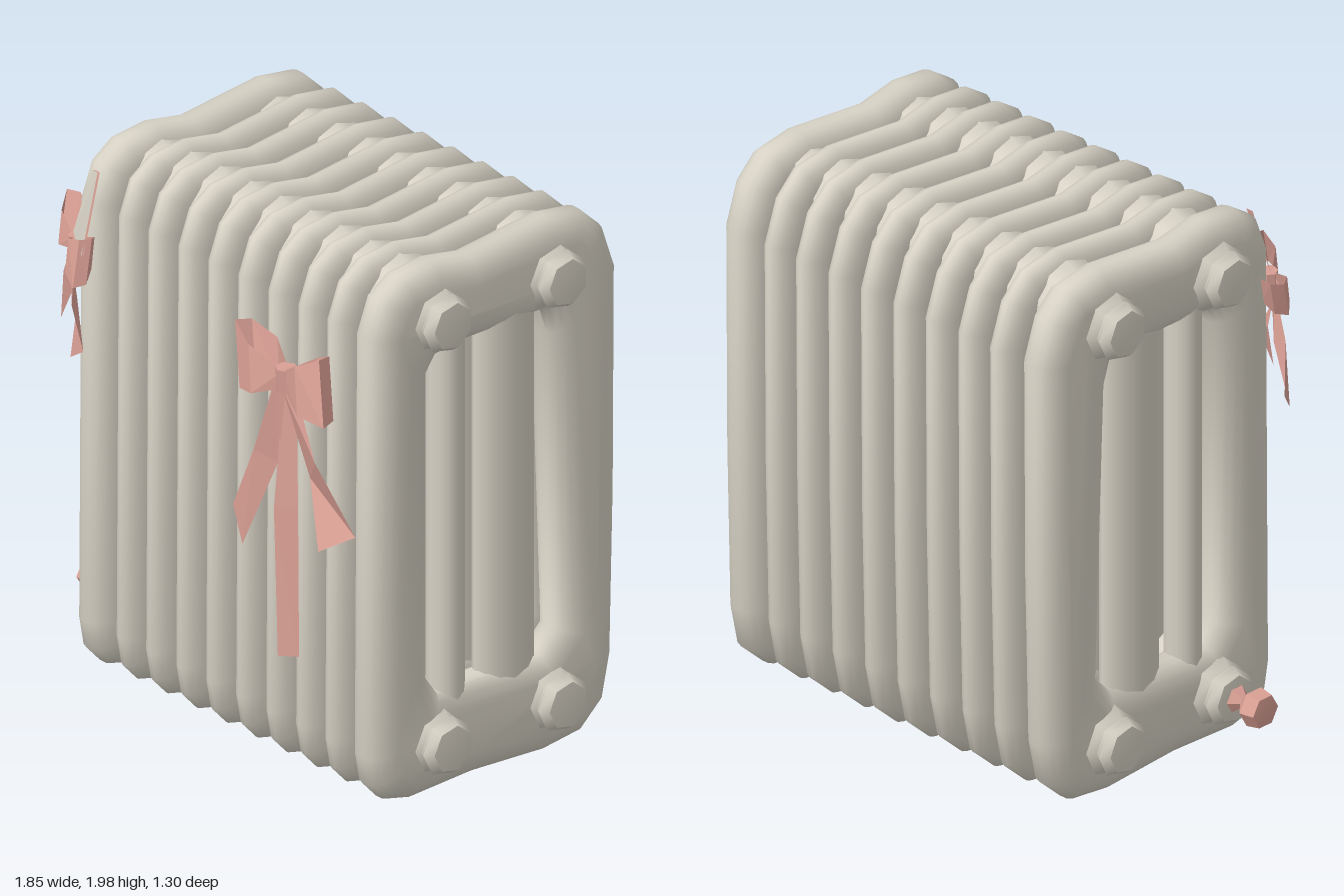
import * as THREE from 'three';
import { toCreasedNormals } from 'three/addons/utils/BufferGeometryUtils.js';

const iron = new THREE.MeshStandardMaterial({ color: 0xd6d1c4 });
iron.name = 'cast iron cream';
const pink = new THREE.MeshStandardMaterial({ color: 0xd99f94, side: THREE.DoubleSide });
pink.name = 'ribbon pink';

const HEADER_Z = [0.175, -0.34];
const HEADER_Y = [0.21, 1.785];

function add(parent, name, geometry, material) {
  const mesh = new THREE.Mesh(geometry, material);
  mesh.name = name;
  parent.add(mesh);
  return mesh;
}

// One radiator section: rounded frame plus two inner columns, shifted a little by sway
function section(name, x, depth, bevel, sway) {
  const g = new THREE.Group();
  g.name = name;
  g.position.x = x;
  // outline as (-z, y)
  const outline = [
    [-0.46, 0.22], [-0.44, 0.11], [-0.38, 0.045], [-0.28, 0.02], [0, 0.03], [0.32, 0.01],
    [0.49, 0.03], [0.59, 0.12], [0.625, 0.28], [0.64, 0.9], [0.645, 1.72], [0.59, 1.88], [0.5, 1.965],
    [0.34, 1.99], [0, 1.955], [-0.16, 1.985], [-0.31, 1.97], [-0.4, 1.91], [-0.45, 1.78],
  ].map(p => new THREE.Vector2(...p));
  const shape = new THREE.Shape(outline);
  shape.holes.push(new THREE.Path([
    [-0.2, 0.45], [-0.2, 1.58], [-0.15, 1.65], [0.3, 1.65], [0.33, 1.56], [0.37, 0.45], [0.3, 0.38], [-0.15, 0.38],
  ].map(p => new THREE.Vector2(...p))));
  const geo = new THREE.ExtrudeGeometry(shape, {
    depth, bevelThickness: bevel, bevelSize: 0.1, bevelOffset: -0.1, bevelSegments: 4,
  });
  geo.translate(0, 0, -depth / 2);
  geo.rotateY(Math.PI / 2);
  add(g, 'frame', toCreasedNormals(geo, 0.9), iron);

  for (const [z, r] of [[0.083, 0.068], [-0.175, 0.128]]) {
    const column = add(g, 'innerColumn', new THREE.CylinderGeometry(1, 1, 1.4, 12, 1, true), iron);
    column.scale.set(depth / 2 + bevel * 0.8, 1, r);
    column.position.set(0, 1.01, z + sway);
  }
  return g;
}

// Horizontal header that swells into every section
function header(xs) {
  const pts = [];
  xs.forEach((x, i) => {
    pts.push(new THREE.Vector2(0.195, x));
    if (i < xs.length - 1) pts.push(new THREE.Vector2(0.15, (x + xs[i + 1]) / 2));
  });
  const geo = new THREE.LatheGeometry(pts, 12);
  geo.rotateZ(-Math.PI / 2);
  return geo;
}

// End plug: flared root, neck and blunt knob, pointing along +x
function plugGeometry() {
  const pts = [[0.16, -0.02], [0.12, 0.03], [0.095, 0.055], [0.108, 0.075], [0.085, 0.108], [0, 0.114]]
    .map(p => new THREE.Vector2(...p));
  const geo = toCreasedNormals(new THREE.LatheGeometry(pts, 7), 0.9);
  geo.rotateZ(-Math.PI / 2);
  return geo;
}

// Flat-faced ribbon between two edges given as point lists
function ribbon(edgeA, edgeB) {
  const pos = [];
  for (let i = 0; i < edgeA.length - 1; i++) {
    const [a, b, c, d] = [edgeA[i], edgeB[i], edgeB[i + 1], edgeA[i + 1]];
    pos.push(...a, ...b, ...c, ...a, ...c, ...d);
  }
  const geo = new THREE.BufferGeometry();
  geo.setAttribute('position', new THREE.Float32BufferAttribute(pos, 3));
  geo.computeVertexNormals();
  return geo;
}

// Bow around its own knot: two slanted loops, a knot and a list of tails
function bow(name, span, height, thick, tails) {
  const g = new THREE.Group();
  g.name = name;
  const knot = add(g, 'knot', toCreasedNormals(new THREE.CylinderGeometry(0.04, 0.035, height * 0.4, 6), 0.3), pink);
  knot.scale.z = thick / 0.06;
  for (const s of [-1, 1]) {
    // out along the front, round the tip, back along the rear
    const path = [[0, 0.3, 0.2], [0.55, 0.75, 1], [1, 1, 0.5], [0.92, 0.95, -0.5], [0.5, 0.7, -1], [0, 0.3, -0.2]];
    const edge = k => path.map(([x, h, z]) => [
      s * x * span * (0.87 - 0.13 * k * s),
      (k * h * height) / 2 + 0.12 * height * x,
      z * thick - 0.3 * k * x * thick,
    ]);
    add(g, s > 0 ? 'leftLoop' : 'rightLoop', ribbon(edge(1), edge(-1)), pink);
  }
  for (const [a, b] of tails) add(g, 'tail', ribbon(a, b), pink);
  return g;
}

export function createModel() {
  const model = new THREE.Group();
  model.name = 'radiator';

  // Ten sections, the outer two thicker
  const xs = [-0.63, -0.455, -0.305, -0.152, 0, 0.152, 0.305, 0.457, 0.605, 0.77];
  xs.forEach((x, i) => {
    const end = i === 0 || i === xs.length - 1;
    const sway = end ? 0 : 0.035 * Math.sin(i * 2.4);
    model.add(section(end ? 'endSection' : 'section', x, end ? 0.03 : 0.01, end ? 0.064 : 0.05, sway));
  });

  // Headers and end plugs
  const headerGeo = header(xs);
  const plugGeo = plugGeometry();
  for (const y of HEADER_Y) {
    for (const z of HEADER_Z) {
      add(model, 'header', headerGeo, iron).position.set(0, y, z);
      add(model, 'endPlug', plugGeo, iron).position.set(0.81, y, z);
      const plug = add(model, 'endPlug', plugGeo, iron);
      plug.position.set(-0.68, y, z);
      plug.rotation.y = Math.PI;
    }
  }

  // Large bow on the front
  const large = bow('largeBow', 0.245, 0.22, 0.06, [
    [[[-0.04, 0, 0.01], [-0.13, -0.3, 0.03], [-0.28, -0.57, -0.01]],
      [[0.02, -0.03, 0.02], [-0.05, -0.33, -0.01], [-0.165, -0.66, 0.05]]],
    [[[-0.01, -0.03, 0.01], [0.1, -0.34, -0.02], [0.22, -0.55, 0.05]],
      [[0.04, 0, 0], [0.18, -0.24, 0.03], [0.33, -0.48, -0.02]]],
    [[[-0.02, 0, -0.01], [-0.05, -0.5, 0.01], [-0.03, -1.04, 0.01]],
      [[0.03, 0, -0.02], [0.05, -0.46, -0.01], [0.055, -1.02, -0.01]]],
  ]);
  large.position.set(0.52, 1.575, 0.575);
  model.add(large);

  // Corner bow on the upper right
  const corner = bow('cornerBow', 0.23, 0.15, 0.045, [
    [[[-0.03, 0, 0.01], [-0.14, -0.17, 0.03], [-0.29, -0.3, 0]],
      [[0.02, -0.02, 0.01], [-0.08, -0.2, 0], [-0.22, -0.38, 0.03]]],
    [[[-0.01, -0.02, 0.02], [0.03, -0.2, 0], [0.09, -0.38, 0.03]],
      [[0.04, 0, 0.01], [0.13, -0.17, 0.03], [0.22, -0.3, 0]]],
  ]);
  corner.position.set(-0.64, 1.635, 0.49);
  corner.rotation.y = -0.62;
  model.add(corner);

  // Strap tying the corner bow to the section top: cream face, pink lining
  const strap = ribbon([[-0.59, 1.9, 0.44], [-0.48, 1.68, 0.61]], [[-0.62, 1.9, 0.44], [-0.67, 1.66, 0.48]]);
  add(model, 'strapFace', strap, iron);
  add(model, 'strapLining', strap, pink).position.set(0.004, 0, -0.006);

  // Small knotted bow on the lower right plug, with a cream inner face
  const small = add(model, 'plugBow', toCreasedNormals(new THREE.LatheGeometry(
    [[0.05, -0.08], [0.02, -0.045], [0.07, 0], [0.06, 0.055], [0, 0.06]].map(p => new THREE.Vector2(...p)), 6), 0.3), pink);
  small.rotation.z = Math.PI / 2;
  small.position.set(-0.87, 0.21, 0.18);
  const inner = add(model, 'plugBowInnerFace', new THREE.CircleGeometry(0.075, 6), iron);
  inner.rotation.y = Math.PI / 2;
  inner.position.set(-0.862, 0.21, 0.18);

  return model;
}
